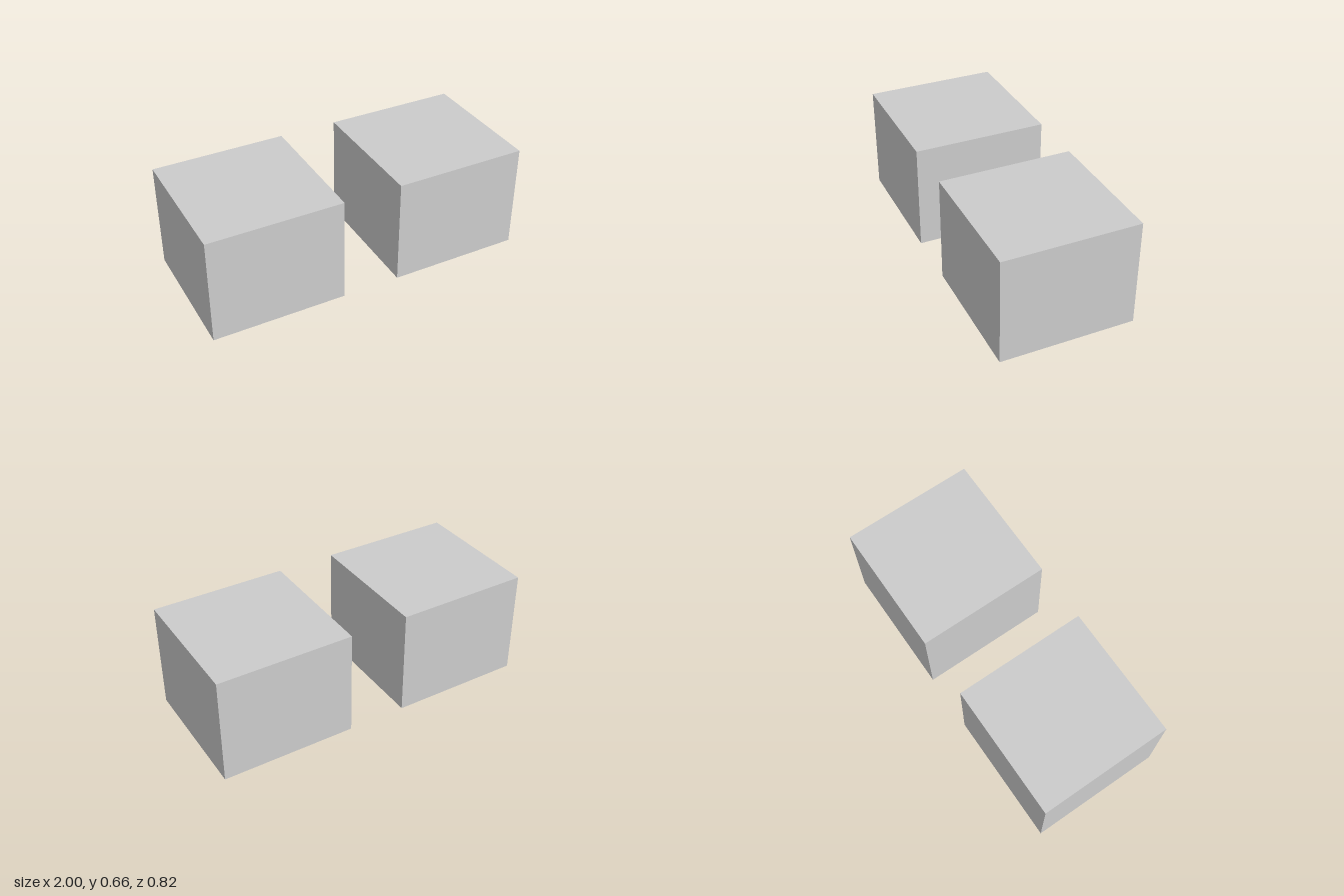
import * as THREE from 'three';

const SIDE = 0.82, HEIGHT = 0.66, OFFSET = 0.59;
const WALL = 0.04, RADIUS = 0.125, DEPTH = HEIGHT - WALL;
const CORE = SIDE / 2 - WALL - RADIUS; // distance from the centre to each corner arc's centre

const material = new THREE.MeshStandardMaterial({ color: 0xcccccc });

function mesh(name, geometry, y = 0) {
  const m = new THREE.Mesh(geometry, material);
  m.name = name;
  m.position.y = y;
  return m;
}

// Square with rounded corners, the outline of the cavity
function roundedSquare(Type) {
  const path = new Type();
  [[1, 1], [-1, 1], [-1, -1], [1, -1]].forEach(([sx, sy], i) =>
    path.absarc(sx * CORE, sy * CORE, RADIUS, i * Math.PI / 2, (i + 1) * Math.PI / 2, false));
  path.closePath();
  return path;
}

// Smooth inward-facing wall: a cylinder split into quarters pushed to the corners
function cavityWallGeometry() {
  const segments = 64;
  const g = new THREE.CylinderGeometry(1, 1, DEPTH, segments, 1, true, Math.PI / segments);
  g.scale(-1, 1, 1); // turns the faces inward
  const p = g.attributes.position, n = g.attributes.normal;
  const snap = v => (Math.abs(v) < 0.03 ? 0 : v);
  for (let i = 0; i < p.count; i++) {
    const x = p.getX(i), z = p.getZ(i);
    const dir = new THREE.Vector3(snap(x), 0, snap(z)).normalize();
    p.setX(i, Math.sign(x) * CORE + dir.x * RADIUS);
    p.setZ(i, Math.sign(z) * CORE + dir.z * RADIUS);
    n.setXYZ(i, -dir.x, 0, -dir.z);
  }
  return g;
}

function solidBlock() {
  return mesh('solidBlock', new THREE.BoxGeometry(SIDE, HEIGHT, SIDE), HEIGHT / 2);
}

// Block hollowed out from below
function hollowBlock() {
  const group = new THREE.Group();
  group.name = 'hollowBlock';

  // Outer shell without its bottom face
  const shell = new THREE.BoxGeometry(SIDE, HEIGHT, SIDE);
  const index = Array.from(shell.index.array);
  index.splice(18, 6);
  shell.setIndex(index);
  shell.clearGroups();
  group.add(mesh('outerShell', shell, HEIGHT / 2));

  // Bottom rim around the opening
  const h = SIDE / 2;
  const rim = new THREE.Shape([[-h, -h], [h, -h], [h, h], [-h, h]].map(c => new THREE.Vector2(...c)));
  rim.holes.push(roundedSquare(THREE.Path));
  group.add(mesh('bottomRim', new THREE.ShapeGeometry(rim, 16).rotateX(Math.PI / 2)));

  // Cavity
  group.add(mesh('cavityWall', cavityWallGeometry(), DEPTH / 2));
  const roof = new THREE.ShapeGeometry(roundedSquare(THREE.Shape), 16).rotateX(Math.PI / 2);
  group.add(mesh('cavityRoof', roof, DEPTH));
  return group;
}

export function createModel() {
  const model = new THREE.Group();
  model.name = 'blockPair';
  const solid = solidBlock();
  solid.position.x = OFFSET;
  const hollow = hollowBlock();
  hollow.position.x = -OFFSET;
  model.add(solid, hollow);
  return model;
}
